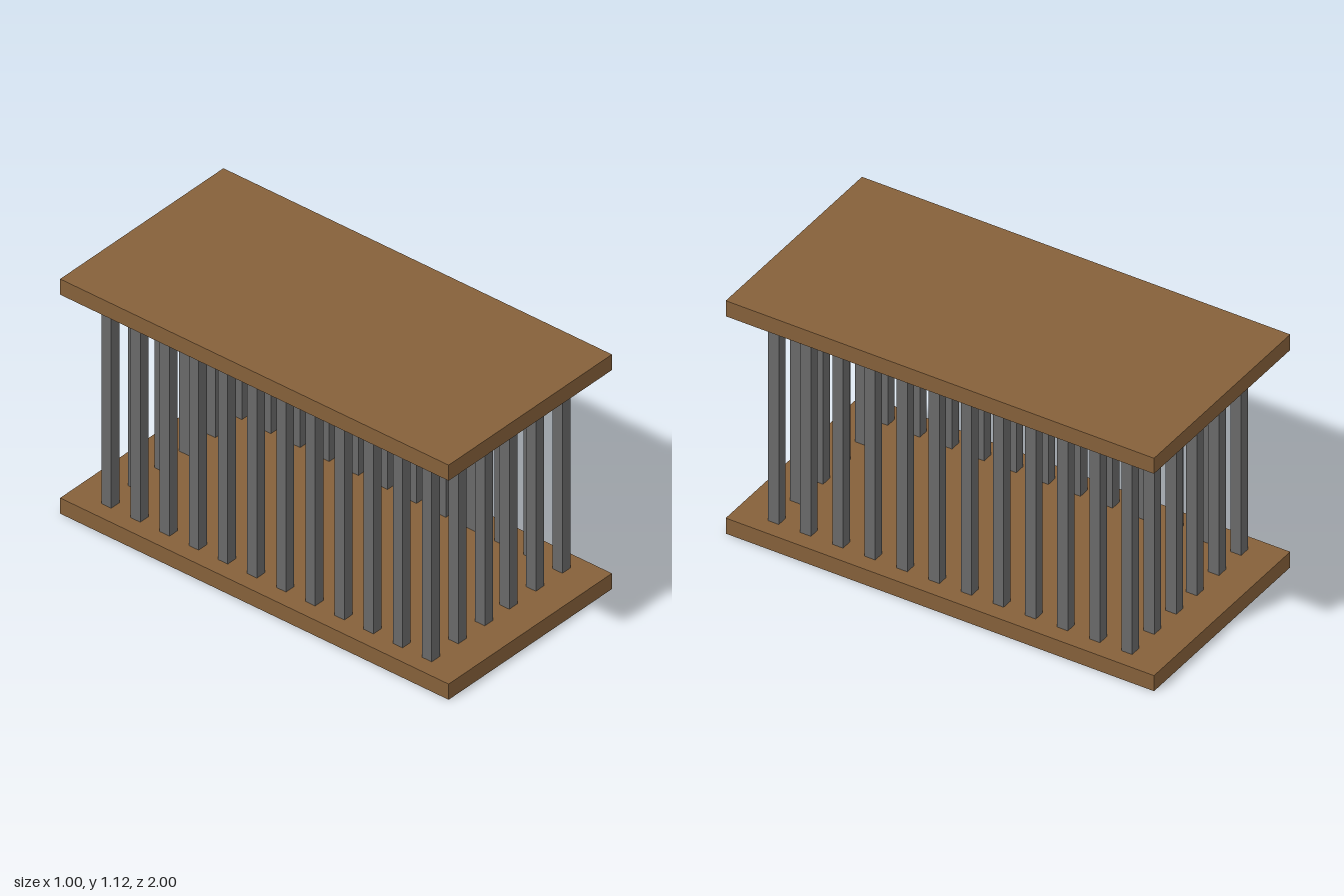
import * as THREE from 'three';

const wood = new THREE.MeshStandardMaterial({ color: 0x85603a });
const iron = new THREE.MeshStandardMaterial({ color: 0x696969 });

const SLAB = 0.075; // slab thickness
const BAR_HEIGHT = 0.975; // clear height between the slabs
const BAR = 0.05; // bar width

export function createModel() {
  const model = new THREE.Group();
  model.name = 'cage';

  const addBox = (parent, name, size, position, material) => {
    const mesh = new THREE.Mesh(new THREE.BoxGeometry(...size), material);
    mesh.name = name;
    mesh.position.set(...position);
    parent.add(mesh);
  };

  // Wooden floor and roof
  addBox(model, 'floor', [1, SLAB, 2], [0, SLAB / 2, 0], wood);
  addBox(model, 'roof', [1, SLAB, 2], [0, SLAB * 1.5 + BAR_HEIGHT, 0], wood);

  // Square bars around the perimeter, one row per side
  const addBar = (row, x, z) =>
    addBox(row, 'bar', [BAR, BAR_HEIGHT, BAR], [x, SLAB + BAR_HEIGHT / 2, z], iron);
  const addRow = (name) => {
    const row = new THREE.Group();
    row.name = name;
    model.add(row);
    return row;
  };

  // Long sides, corners included
  for (const side of [1, -1]) {
    const row = addRow(side > 0 ? 'leftBars' : 'rightBars');
    for (let i = 0; i < 12; i++) addBar(row, side * 0.4, -0.825 + i * 0.15);
  }

  // Short ends, between the corner bars
  for (const end of [1, -1]) {
    const row = addRow(end > 0 ? 'frontBars' : 'backBars');
    for (const x of [-0.2375, -0.075, 0.075, 0.2375]) addBar(row, x, end * 0.825);
  }

  return model;
}
